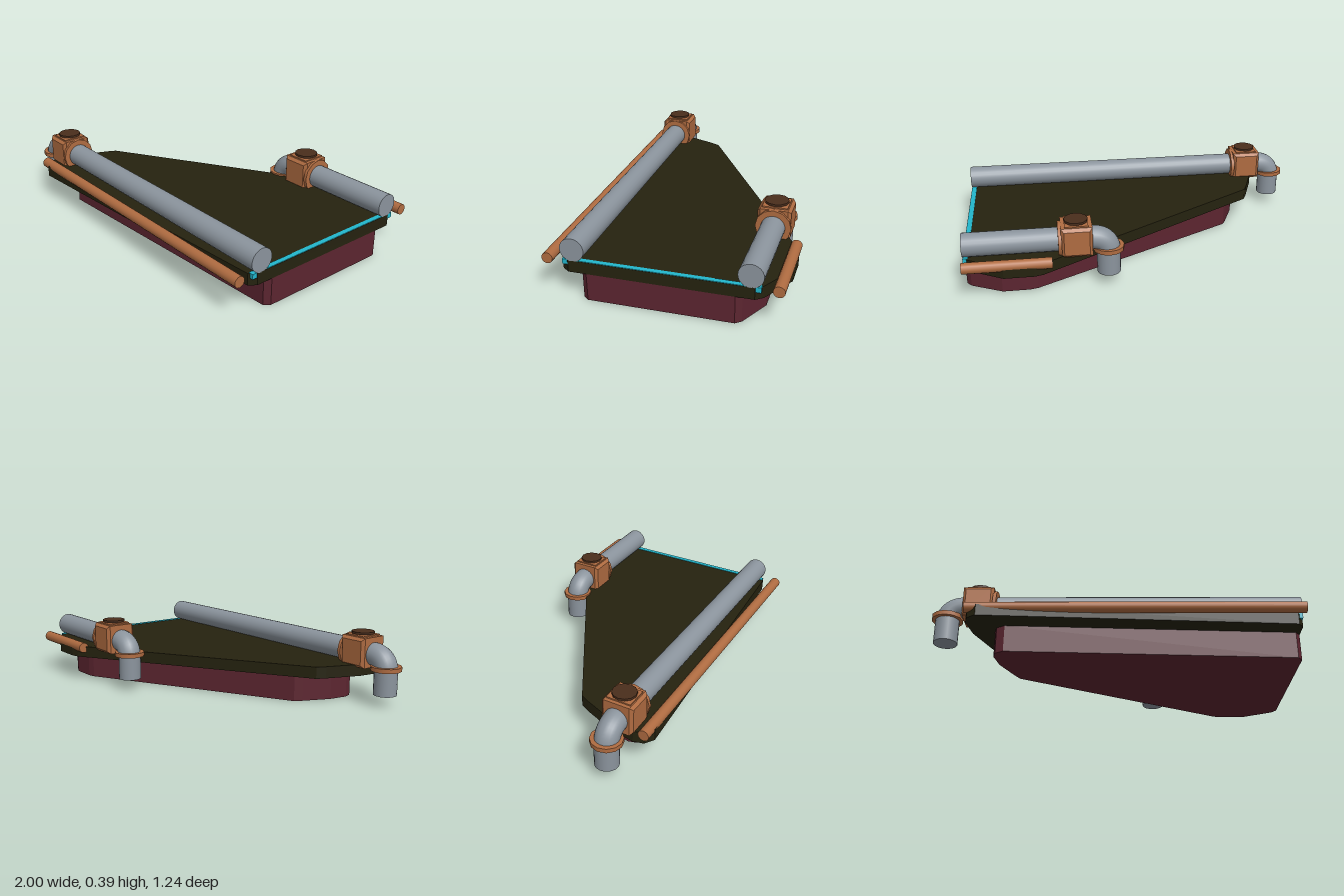
import * as THREE from 'three';

const material = (name, color) => {
  const m = new THREE.MeshStandardMaterial({ color });
  m.name = name;
  return m;
};

export function createModel() {
  const olive = material('dark olive', 0x25220f);
  const maroon = material('maroon', 0x5c2530);
  const copper = material('copper', 0xb06c41);
  const steel = material('grey steel', 0x8b949d);
  const cyan = material('cyan', 0x22b6cc);
  const brown = material('dark brown', 0x4a2e1c);

  const root = new THREE.Group();
  root.name = 'pipedPlatform';

  const add = (parent, name, geometry, mat, x = 0, y = 0, z = 0) => {
    const mesh = new THREE.Mesh(geometry, mat);
    mesh.name = name;
    mesh.position.set(x, y, z);
    parent.add(mesh);
    return mesh;
  };

  // Cylinder lying along x between two ends
  const rod = (parent, name, x0, x1, y, z, r, mat, sides = 24) =>
    add(parent, name, new THREE.CylinderGeometry(r, r, x1 - x0, sides).rotateZ(Math.PI / 2),
      mat, (x0 + x1) / 2, y, z);

  // Deck outline as x, z corners; the hull is the same outline drawn in
  const outline = [
    [1, 0.475], [0.973, 0.513], [-0.735, 0.618], [-0.785, 0.585], [-0.8, 0.53],
    [-0.78, 0.4], [-0.705, 0.21], [-0.68, 0.16], [0.585, -0.605], [0.63, -0.618],
    [0.79, -0.618], [0.973, -0.513], [1, -0.475],
  ];
  const plate = (sx, sz, depth) => {
    const points = outline.map(([x, z]) => new THREE.Vector2(1 - (1 - x) * sx, -z * sz));
    return new THREE.ExtrudeGeometry(new THREE.Shape(points), { depth, bevelEnabled: false })
      .rotateX(-Math.PI / 2);
  };
  add(root, 'hull', plate(0.92, 0.8, 0.15), maroon);
  add(root, 'deck', plate(1, 1, 0.065), olive, 0, 0.15, 0);

  // Light strip across the wide end
  add(root, 'lightStrip', new THREE.BoxGeometry(0.027, 0.028, 1.01), cyan, 0.985, 0.204, 0);

  // Chamfered valve block
  const blockGeometry = () => {
    const w = 0.067, h = 0.067, b = 0.016;
    const s = new THREE.Shape([[-w, -h], [w, -h], [w, h], [-w, h]].map((p) => new THREE.Vector2(...p)));
    return new THREE.ExtrudeGeometry(s, {
      depth: 0.146, bevelSize: b, bevelThickness: b, bevelSegments: 1,
    }).translate(0, 0, -0.073);
  };

  // Quarter bend from the block down to the outlet
  const bend = new THREE.CurvePath();
  bend.add(new THREE.CubicBezierCurve3(
    new THREE.Vector3(-0.075, 0.275, 0), new THREE.Vector3(-0.13, 0.275, 0),
    new THREE.Vector3(-0.172, 0.25, 0), new THREE.Vector3(-0.172, 0.19, 0)));

  const pipeLine = (name, x, z) => {
    const g = new THREE.Group();
    g.name = name;
    g.position.set(x, 0, z);
    root.add(g);
    rod(g, 'mainPipe', 0.05, 1 - x, 0.275, 0, 0.064, steel);
    add(g, 'valveBlock', blockGeometry(), copper, 0, 0.284, 0);
    add(g, 'blockTop', new THREE.BoxGeometry(0.125, 0.008, 0.135), copper, 0, 0.37, 0);
    rod(g, 'collar', 0.079, 0.098, 0.275, 0, 0.096, copper, 12);
    add(g, 'valveCap', new THREE.CylinderGeometry(0.064, 0.064, 0.012, 12), brown, 0, 0.384, 0);
    add(g, 'elbow', new THREE.TubeGeometry(bend, 14, 0.064, 20), steel);
    add(g, 'outlet', new THREE.CylinderGeometry(0.064, 0.064, 0.135, 20), steel, -0.172, 0.1325, 0);
    add(g, 'outletRing', new THREE.CylinderGeometry(0.085, 0.085, 0.024, 12), copper, -0.172, 0.212, 0);
  };
  pipeLine('frontPipeLine', -0.742, 0.45);
  pipeLine('rearPipeLine', 0.403, -0.455);

  // Slim rails along both long sides
  rod(root, 'frontRail', -0.8, 1, 0.21, 0.587, 0.03, copper, 16);
  rod(root, 'rearRail', 0.535, 1, 0.21, -0.59, 0.03, copper, 16);

  return root;
}
